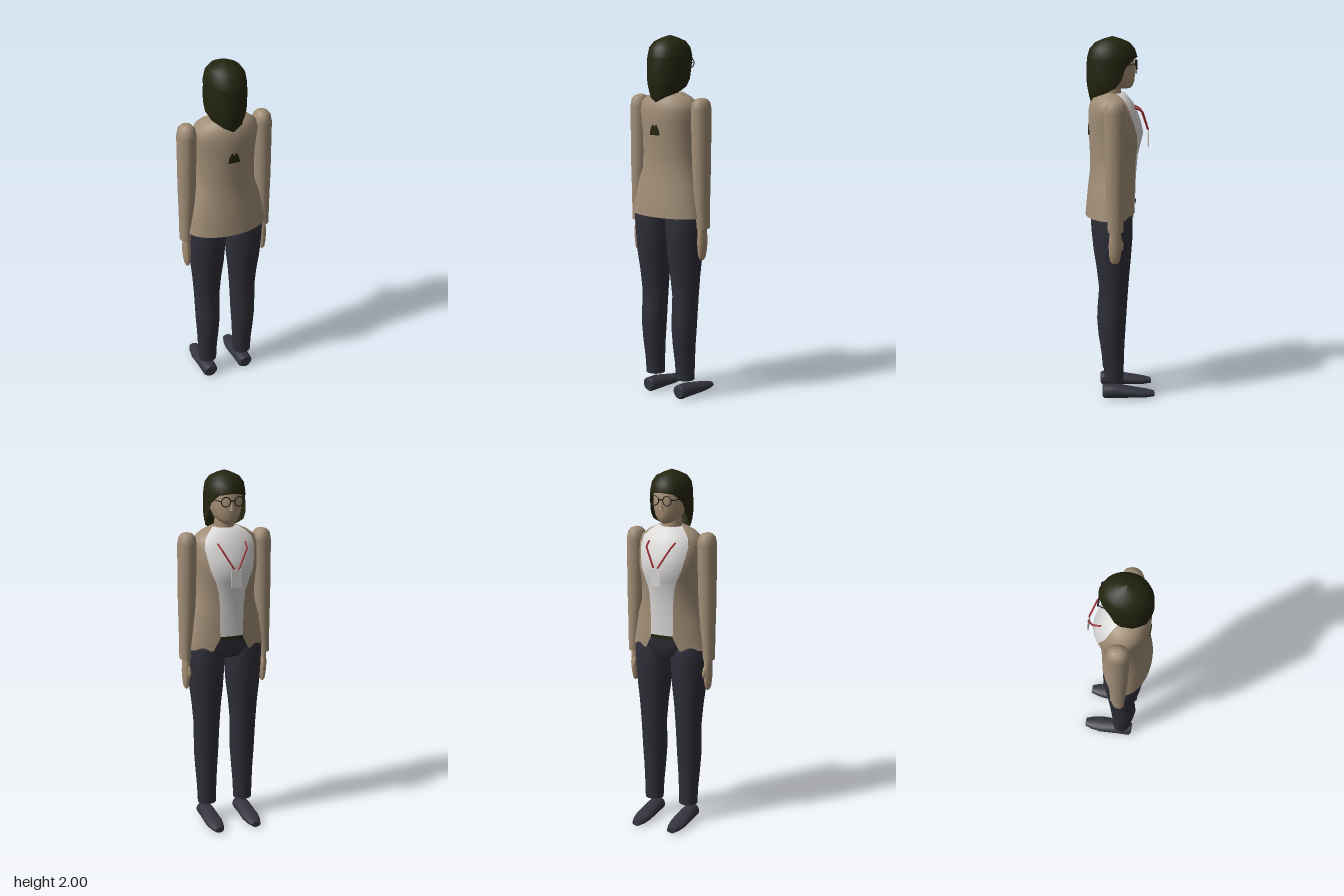
import * as THREE from 'three';

const mat = (name, color, side = THREE.FrontSide) => {
  const m = new THREE.MeshStandardMaterial({ color, side });
  m.name = name;
  return m;
};

// Skin through elliptical rings [y, halfWidth, zFront, zBack, xCentre, openAngle], top to bottom.
// part: 'full' closes each ring, 'wrap' leaves the front open, 'panel' fills only that opening.
function loft(rings, part = 'full', n = 32) {
  const pos = [], idx = [];
  const closed = part === 'full';
  const cols = closed ? n : n + 1;
  for (const [y, w, zf, zb, xc = 0, open = 0] of rings) {
    const from = part === 'panel' ? -open : open;
    const to = part === 'panel' ? open : Math.PI * 2 - open;
    for (let j = 0; j < cols; j++) {
      const t = from + (to - from) * j / n;
      pos.push(xc + w * Math.sin(t), y, (zf + zb) / 2 - (zb - zf) / 2 * Math.cos(t));
    }
  }
  for (let i = 0; i < rings.length - 1; i++) {
    for (let j = 0; j < n; j++) {
      const k = (j + 1) % cols;
      const a = i * cols + j, b = i * cols + k, c = a + cols, d = b + cols;
      idx.push(a, b, c, b, d, c);
    }
  }
  const g = new THREE.BufferGeometry();
  g.setAttribute('position', new THREE.Float32BufferAttribute(pos, 3));
  g.setIndex(idx);
  g.computeVertexNormals();
  return g;
}

// Close both ends of a ring list with flat, crisp caps
function capped(rings) {
  const point = ([y, , zf, zb, xc]) => [y, 0.0005, (zf + zb) / 2 - 0.0005, (zf + zb) / 2 + 0.0005, xc];
  const a = rings[0], b = rings[rings.length - 1];
  return [point(a), a, ...rings, b, point(b)];
}

export function createModel() {
  const root = new THREE.Group();
  root.name = 'standingPerson';
  const jacketMat = mat('jacket tan', 0xa08d76, THREE.DoubleSide);
  const skin = mat('skin', 0xa68f74);
  const shirtMat = mat('shirt white', 0xdcdad8, THREE.DoubleSide);
  const trousers = mat('trousers navy', 0x2e2e38);
  const shoeMat = mat('shoe navy', 0x34343f);
  const hairMat = mat('hair dark olive', 0x242410, THREE.DoubleSide);
  const red = mat('lanyard red', 0xa32a30);
  const black = mat('glasses black', 0x141414);
  const add = (name, geo, m) => {
    const mesh = new THREE.Mesh(geo, m);
    mesh.name = name;
    root.add(mesh);
    return mesh;
  };
  const at = (x, rings) => rings.map(([y, w, zf, zb, dx = 0]) => [y, w, zf, zb, x * (1 + dx)]);

  // Torso: jacket wraps the back and sides, shirt fills the front opening
  const torso = [
    [1.695, 0.045, -0.01, 0.09, 0, 1.4],
    [1.70, 0.075, -0.03, 0.11, 0, 1.3],
    [1.675, 0.13, -0.05, 0.14, 0, 0.95],
    [1.645, 0.168, -0.075, 0.158, 0, 0.9],
    [1.60, 0.18, -0.097, 0.168, 0, 0.9],
    [1.54, 0.175, -0.118, 0.168, 0, 0.85],
    [1.48, 0.17, -0.13, 0.166, 0, 0.78],
    [1.42, 0.166, -0.115, 0.163, 0, 0.6],
    [1.36, 0.164, -0.1, 0.16, 0, 0.48],
    [1.28, 0.168, -0.093, 0.16, 0, 0.42],
    [1.20, 0.195, -0.088, 0.17, 0, 0.35],
    [1.10, 0.215, -0.086, 0.18, 0, 0.31],
    [1.03, 0.228, -0.085, 0.186, 0, 0.46],
  ];
  add('jacketBody', loft(torso, 'wrap', 48), jacketMat);
  add('shirtFront', loft(torso.slice(0, -1), 'panel', 24), shirtMat);
  add('belt', loft([[1.112, 0.213, -0.09, 0.16, 0, 0.31], [1.092, 0.213, -0.09, 0.16, 0, 0.31]], 'panel', 12), hairMat);

  // Trouser seat
  add('trouserSeat', loft(capped([
    [1.11, 0.195, -0.083, 0.15], [1.04, 0.175, -0.083, 0.145], [0.985, 0.1, -0.06, 0.1],
  ])), trousers);

  for (const s of [1, -1]) {
    const side = s > 0 ? 'left' : 'right';
    add(side + 'TrouserLeg', loft(capped(at(s * 0.108, [
      [1.08, 0.085, -0.05, 0.14], [1.03, 0.106, -0.066, 0.155], [0.92, 0.102, -0.065, 0.15],
      [0.80, 0.094, -0.056, 0.138], [0.70, 0.082, -0.047, 0.122], [0.58, 0.073, -0.038, 0.108],
      [0.48, 0.07, -0.032, 0.116], [0.40, 0.068, -0.027, 0.12], [0.30, 0.061, -0.021, 0.112],
      [0.20, 0.055, -0.018, 0.096], [0.105, 0.052, -0.015, 0.088],
    ]))), trousers);

    // Shoe: rings run heel to toe, then the loft is laid along z
    add(side + 'Shoe', loft(capped(at(s * 0.11, [
      [0.1, 0.03, -0.072, -0.008], [0.088, 0.043, -0.08, 0], [0.02, 0.045, -0.078, 0],
      [-0.09, 0.049, -0.055, 0], [-0.145, 0.04, -0.045, 0], [-0.188, 0.025, -0.034, -0.004],
    ]))).rotateX(Math.PI / 2), shoeMat);

    // Arm
    add(side + 'Sleeve', loft(capped(at(s * 0.213, [
      [1.674, 0.012, 0.018, 0.052], [1.668, 0.03, 0, 0.07], [1.65, 0.045, -0.018, 0.088],
      [1.61, 0.052, -0.026, 0.096], [1.30, 0.048, -0.018, 0.09, 0.02], [1.15, 0.041, -0.013, 0.084, 0.04],
      [0.975, 0.031, -0.006, 0.076, 0.08],
    ]))), jacketMat);
    add(side + 'Hand', loft(capped(at(s * 0.225, [
      [0.985, 0.021, 0.007, 0.067], [0.95, 0.021, 0.004, 0.068], [0.90, 0.023, 0, 0.072],
      [0.85, 0.019, 0.005, 0.07], [0.815, 0.014, 0.012, 0.064], [0.80, 0.006, 0.024, 0.052],
    ])), 'full', 16), skin);
    const thumb = add(side + 'Thumb', new THREE.SphereGeometry(1, 12, 8), skin);
    thumb.scale.set(0.011, 0.035, 0.012);
    thumb.position.set(s * 0.217, 0.905, 0.004);
    thumb.rotation.x = 0.2;

    // Lanyard strap
    const path = new THREE.CurvePath();
    const p = [[0.078, 1.625, -0.075], [0.072, 1.603, -0.12], [0.012, 1.497, -0.156]]
      .map(([x, y, z]) => new THREE.Vector3(s * x, y, z));
    path.add(new THREE.LineCurve3(p[0], p[1]));
    path.add(new THREE.LineCurve3(p[1], p[2]));
    add(side + 'LanyardStrap', new THREE.TubeGeometry(path, 16, 0.005, 6), red);

    // Glasses rim and temple
    add(side + 'GlassesRim', new THREE.TorusGeometry(0.025, 0.0028, 6, 24), black)
      .position.set(s * 0.037, 1.848, -0.092);
    const temple = new THREE.LineCurve3(new THREE.Vector3(s * 0.062, 1.852, -0.092), new THREE.Vector3(s * 0.09, 1.852, 0));
    add(side + 'GlassesTemple', new THREE.TubeGeometry(temple, 1, 0.0025, 5), black);
  }
  add('glassesBridge', new THREE.BoxGeometry(0.026, 0.005, 0.005), black).position.set(0, 1.853, -0.093);
  add('badgeCard', new THREE.BoxGeometry(0.058, 0.095, 0.005), shirtMat).position.set(0, 1.448, -0.158);

  // Neck, head and nose
  add('neck', new THREE.CylinderGeometry(0.05, 0.055, 0.13, 24), skin).position.set(0, 1.725, 0.043);
  add('head', loft(capped([
    [1.97, 0.03, -0.02, 0.08], [1.94, 0.075, -0.06, 0.12], [1.89, 0.088, -0.08, 0.14],
    [1.84, 0.088, -0.085, 0.14], [1.80, 0.083, -0.085, 0.13], [1.76, 0.068, -0.081, 0.1],
    [1.735, 0.047, -0.072, 0.05], [1.722, 0.022, -0.058, 0.01],
  ])), skin);
  const nose = add('nose', new THREE.ConeGeometry(0.014, 0.05, 10), skin);
  nose.position.set(0, 1.825, -0.085);
  nose.scale.z = 0.9;

  // Hair: closed cap with a fringe, opening around the face and tapering at the nape
  add('hair', loft([
    [2.0, 0.002, 0.036, 0.04, 0, 0],
    [1.986, 0.04, -0.012, 0.088, 0, 0],
    [1.967, 0.08, -0.055, 0.13, 0, 0],
    [1.935, 0.102, -0.083, 0.16, 0, 0],
    [1.89, 0.109, -0.098, 0.173, 0, 0],
    [1.88, 0.11, -0.099, 0.174, 0, 0.65],
    [1.835, 0.11, -0.1, 0.177, 0, 1.08],
    [1.77, 0.11, -0.1, 0.178, 0, 1.26],
    [1.73, 0.106, -0.1, 0.173, 0, 1.5],
    [1.70, 0.1, -0.1, 0.167, 0, 1.95],
    [1.675, 0.1, -0.1, 0.162, 0, 2.6],
    [1.65, 0.09, -0.1, 0.155, 0, 3.08],
  ], 'wrap', 40), hairMat);

  // Twin-peaked dark patch on the back
  const patch = new THREE.Shape([[-0.032, 1.473], [0.032, 1.473], [0.026, 1.505], [0.012, 1.53],
    [0, 1.517], [-0.012, 1.53], [-0.026, 1.505]].map(([x, y]) => new THREE.Vector2(x, y)));
  add('backPatch', new THREE.ExtrudeGeometry(patch, { depth: 0.008, bevelEnabled: false }), hairMat)
    .position.z = 0.162;

  return root;
}
